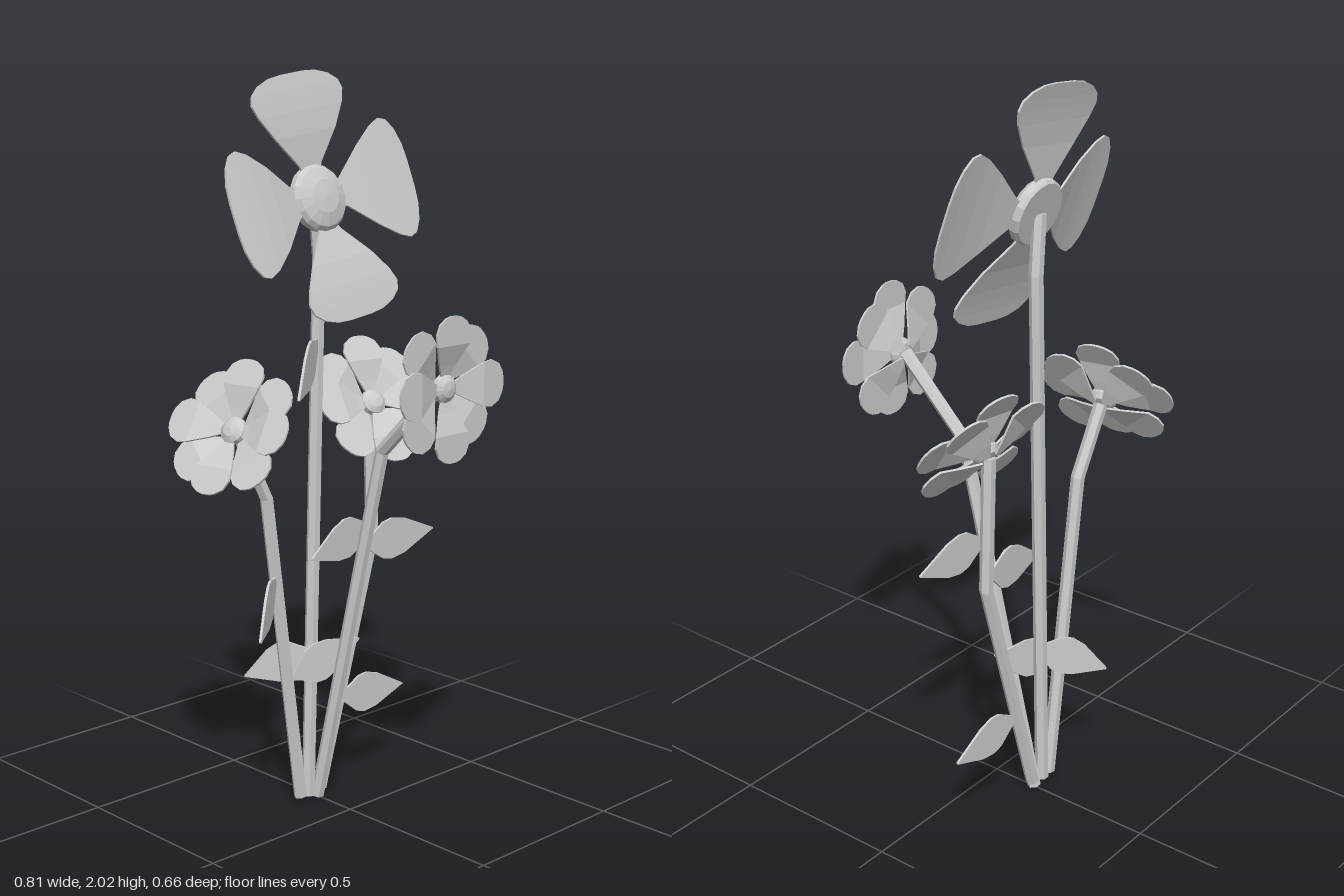
import * as THREE from 'three';

const V = (a) => new THREE.Vector3(...a);
const material = new THREE.MeshStandardMaterial({ color: 0xcccccc, flatShading: true });

function addMesh(parent, geometry, name) {
  const mesh = new THREE.Mesh(geometry, material);
  mesh.name = name;
  parent.add(mesh);
  return mesh;
}

// Closed solid through equal-sized loops of points, capped at both ends
function loft(loops) {
  const n = loops[0].length;
  const index = [];
  for (let k = 0; k < loops.length - 1; k++) {
    for (let i = 0; i < n; i++) {
      const a = k * n + i, b = k * n + (i + 1) % n;
      index.push(a, b, b + n, a, b + n, a + n);
    }
  }
  const last = (loops.length - 1) * n;
  for (let i = 1; i < n - 1; i++) {
    index.push(0, i + 1, i, last, last + i, last + i + 1);
  }
  const geometry = new THREE.BufferGeometry().setFromPoints(loops.flat());
  geometry.setIndex(index);
  geometry.computeVertexNormals();
  return geometry;
}

// Thin blade along +y from [distance, half width, height] stations
function blade(stations, thickness) {
  const t = thickness / 2;
  return loft(stations.map(([y, w, z]) => [
    V([-w, y, z + t]), V([w, y, z + t]), V([w, y, z - t]), V([-w, y, z - t]),
  ]));
}

// Hexagonal stem with mitred bends
function stemGeometry(points, radius) {
  const p = points.map(V);
  return loft(p.map((point, k) => {
    const before = k > 0 ? point.clone().sub(p[k - 1]).normalize() : null;
    const after = k < p.length - 1 ? p[k + 1].clone().sub(point).normalize() : null;
    const tangent = (before ?? after).clone().add(after ?? before).normalize();
    const u = V([1, 0, 0]).addScaledVector(tangent, -tangent.x).normalize();
    const v = tangent.clone().cross(u);
    return Array.from({ length: 6 }, (_, i) => {
      const a = i * Math.PI / 3;
      return point.clone().addScaledVector(u, radius * Math.cos(a)).addScaledVector(v, radius * Math.sin(a));
    });
  }));
}

const smallPetal = [
  [0.02, 0.008, 0.018], [0.06, 0.03, 0.03], [0.115, 0.058, 0.05], [0.145, 0.062, 0.05],
  [0.172, 0.05, 0.05], [0.186, 0.028, 0.05], [0.19, 0.012, 0.05],
];
const bigPetal = [
  [0.05, 0.025, 0.012], [0.09, 0.04, 0.02], [0.17, 0.11, 0.036], [0.23, 0.152, 0.043], [0.265, 0.166, 0.045],
  [0.29, 0.158, 0.046], [0.312, 0.128, 0.046], [0.326, 0.085, 0.046], [0.33, 0.04, 0.046],
];
const leafBlade = [
  [0, 0.004, 0], [0.12, 0.02, 0], [0.3, 0.052, 0], [0.42, 0.058, 0], [0.6, 0.049, 0], [0.82, 0.023, 0], [1, 0.002, 0],
];

// Flower head: petals around a domed centre, facing along a normal
function flower(parent, name, at, normal, { petals, count, roll, stagger, profile }) {
  const head = new THREE.Group();
  head.name = name;
  head.position.set(...at);
  head.lookAt(V(at).add(V(normal)));
  const geometry = blade(petals, 0.006);
  for (let i = 0; i < count; i++) {
    const petal = addMesh(head, geometry, 'petal');
    petal.rotation.z = roll + i * 2 * Math.PI / count;
    petal.position.z = i % 2 ? -stagger : 0;
  }
  const centre = new THREE.LatheGeometry(profile.map(([r, h]) => new THREE.Vector2(r, h)), 16);
  addMesh(head, centre, 'flowerCentre').rotation.x = Math.PI / 2;
  parent.add(head);
}

// Leaf standing on edge, from its root to its tip
function leaf(parent, root, tip) {
  const dir = V(tip).sub(V(root));
  const length = dir.length();
  dir.normalize();
  const side = V([0, 1, 0]).addScaledVector(dir, -dir.y).normalize();
  const stations = leafBlade.map(([t, w, z]) => [t * length, w, z]);
  const mesh = addMesh(parent, blade(stations, 0.007), 'leaf');
  mesh.quaternion.setFromRotationMatrix(
    new THREE.Matrix4().makeBasis(side, dir, side.clone().cross(dir)));
  mesh.position.set(...root);
}

export function createModel() {
  const model = new THREE.Group();
  model.name = 'flowerBunch';

  const small = {
    petals: smallPetal, count: 8, roll: 0, stagger: 0.024,
    profile: [[0, -0.004], [0.026, -0.002], [0.038, 0.014], [0.036, 0.028], [0.022, 0.038], [0, 0.042]],
  };
  const big = {
    petals: bigPetal, count: 4, roll: 0.13, stagger: 0,
    profile: [[0, -0.004], [0.084, -0.004], [0.09, 0.004], [0.09, 0.022], [0.08, 0.034], [0.045, 0.046], [0, 0.05]],
  };

  // Each stem ends at the back of its flower
  const plants = [
    ['tall', [[-0.035, 0.01, -0.135], [0.015, 1.53, -0.137], [-0.005, 1.685, -0.13]], [0, 0.27, 0.96], big],
    ['front', [[0, 0, -0.135], [0.04, 1.03, 0.08], [0.04, 1.23, 0.283]], [0, 0, 1], small],
    ['left', [[-0.065, 0.015, -0.135], [-0.18, 0.9, -0.137], [-0.27, 1.09, -0.145]], [-0.83, 0.52, 0.17], small],
    ['right', [[0.01, 0.02, -0.135], [0.215, 0.72, -0.135], [0.21, 1.1, -0.14]], [-0.15, 0.55, 0.82], small],
  ];
  const sideNames = { left: 'outerStemA', right: 'outerStemB', tall: 'tallStem', front: 'frontStem' };
  for (const [key, path, normal, style] of plants) {
    addMesh(model, stemGeometry(path, 0.019), sideNames[key]);
    flower(model, sideNames[key].replace('Stem', 'Flower'), path[2], normal, style);
  }

  // Leaves
  const leaves = [
    [[0.08, 0.27, -0.135], [0.34, 0.25, -0.135]],
    [[0.035, 0.755, 0.006], [0.315, 0.755, 0.006]],
    [[-0.15, 0.675, -0.135], [-0.345, 0.57, 0.02]],
    [[-0.02, 0.44, -0.12], [-0.155, 0.36, -0.265]],
    [[-0.1, 0.37, -0.135], [0.11, 0.455, -0.08]],
    [[0.01, 1.31, -0.135], [-0.2, 1.19, 0.015]],
    [[0.21, 0.76, -0.135], [-0.05, 0.71, -0.1]],
  ];
  for (const [root, tip] of leaves) leaf(model, root, tip);

  return model;
}
